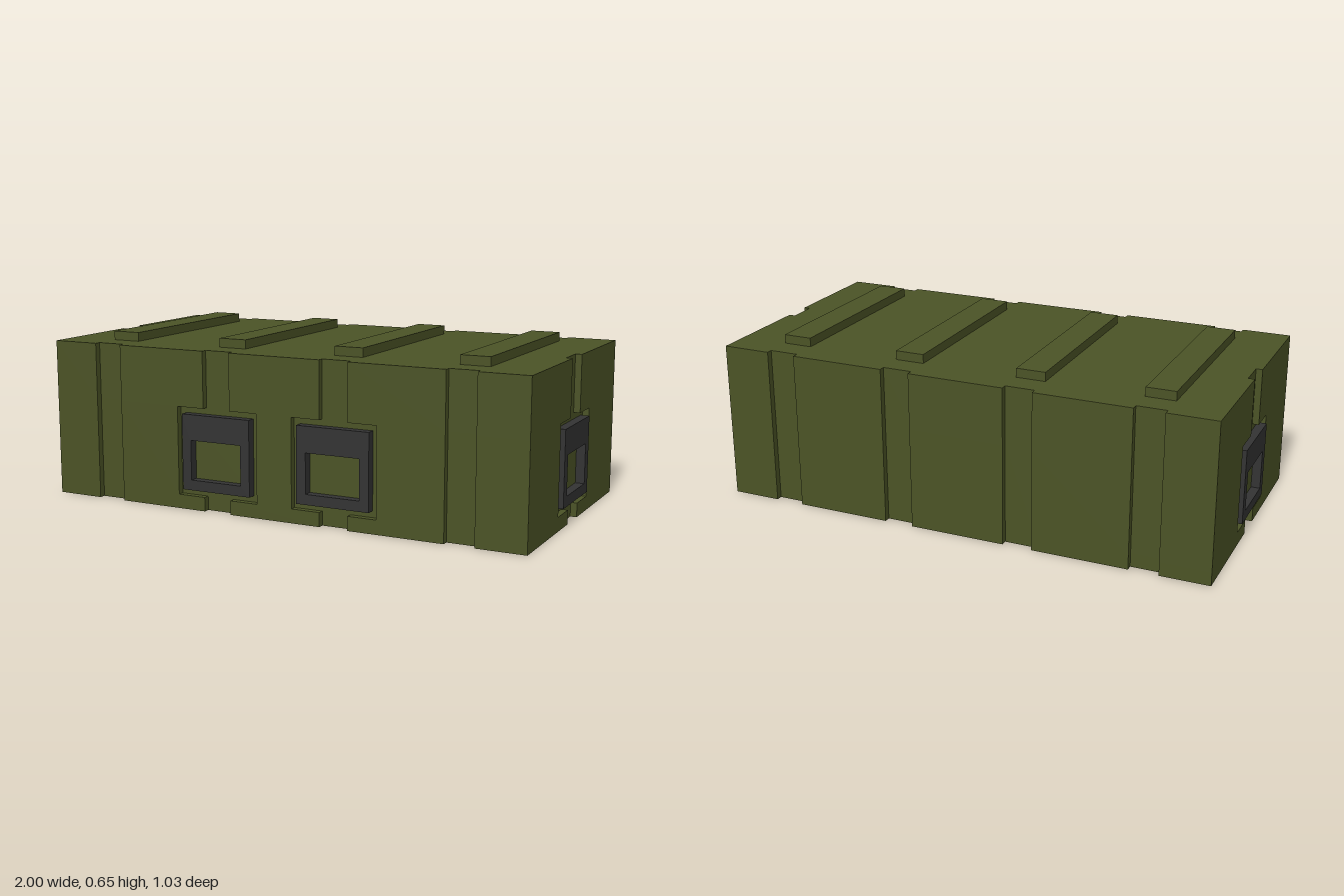
import * as THREE from 'three';

const olive = new THREE.MeshStandardMaterial({ color: 0x4b5326, flatShading: true });
const dark = new THREE.MeshStandardMaterial({ color: 0x333333, flatShading: true });

const X = 0.99, FRONT = 0.505, BACK = -0.515, DEPTH = 0.025;
const RIBS = [-0.74, -0.2475, 0.2475, 0.74];
const RIB_HALF = 0.0575, SIDE_Z = -0.0025;

function add(group, name, geometry, material) {
  const mesh = new THREE.Mesh(geometry, material);
  mesh.name = name;
  group.add(mesh);
  return mesh;
}

// Plan outline with vertical grooves; the grooves behind handles take the given half width
function footprint(half) {
  const pts = [];
  const z = (x, zz) => pts.push(new THREE.Vector2(x, -zz));
  z(-X, FRONT);
  for (const c of RIBS) {
    const h = Math.abs(c) < 0.5 ? half : RIB_HALF;
    z(c - h, FRONT); z(c - h, FRONT - DEPTH); z(c + h, FRONT - DEPTH); z(c + h, FRONT);
  }
  z(X, FRONT);
  z(X, SIDE_Z + half); z(X - DEPTH, SIDE_Z + half); z(X - DEPTH, SIDE_Z - half); z(X, SIDE_Z - half);
  z(X, BACK);
  for (const c of [...RIBS].reverse()) {
    z(c + RIB_HALF, BACK); z(c + RIB_HALF, BACK + DEPTH);
    z(c - RIB_HALF, BACK + DEPTH); z(c - RIB_HALF, BACK);
  }
  z(-X, BACK);
  z(-X, SIDE_Z - half); z(-X + DEPTH, SIDE_Z - half); z(-X + DEPTH, SIDE_Z + half); z(-X, SIDE_Z + half);
  return new THREE.Shape(pts);
}

function rectangle(path, x0, y0, x1, y1) {
  path.moveTo(x0, y0).lineTo(x1, y0).lineTo(x1, y1).lineTo(x0, y1).closePath();
  return path;
}

export function createModel() {
  const model = new THREE.Group();
  model.name = 'storageCrate';

  // Body in three layers: the middle one holds the wide handle pockets
  const layers = [
    ['bodyBottom', 0, 0.055, RIB_HALF],
    ['bodyMiddle', 0.055, 0.40, 0.1735],
    ['bodyTop', 0.40, 0.62, RIB_HALF],
  ];
  for (const [name, y0, y1, half] of layers) {
    const geometry = new THREE.ExtrudeGeometry(footprint(half), { depth: y1 - y0, bevelEnabled: false });
    geometry.rotateX(-Math.PI / 2).translate(0, y0, 0);
    add(model, name, geometry, olive);
  }

  // Raised slats on the lid
  for (const x of RIBS) {
    add(model, 'lidSlat', new THREE.BoxGeometry(RIB_HALF * 2, 0.035, 0.77), olive)
      .position.set(x, 0.6375, -0.005);
  }

  // Handle frames sunk in the pockets
  const frame = rectangle(new THREE.Shape(), -0.1475, 0.08, 0.1475, 0.375);
  frame.holes.push(rectangle(new THREE.Path(), -0.109, 0.12, 0.109, 0.275));
  const frameGeometry = new THREE.ExtrudeGeometry(frame, { depth: 0.035, bevelEnabled: false });
  const handles = [
    ['frontRightHandle', -0.2475, FRONT - DEPTH, 0],
    ['frontLeftHandle', 0.2475, FRONT - DEPTH, 0],
    ['leftHandle', X - DEPTH, SIDE_Z, Math.PI / 2],
    ['rightHandle', -X + DEPTH, SIDE_Z, -Math.PI / 2],
  ];
  for (const [name, x, z, turn] of handles) {
    const handle = add(model, name, frameGeometry, dark);
    handle.position.set(x, 0, z);
    handle.rotation.y = turn;
  }
  return model;
}
